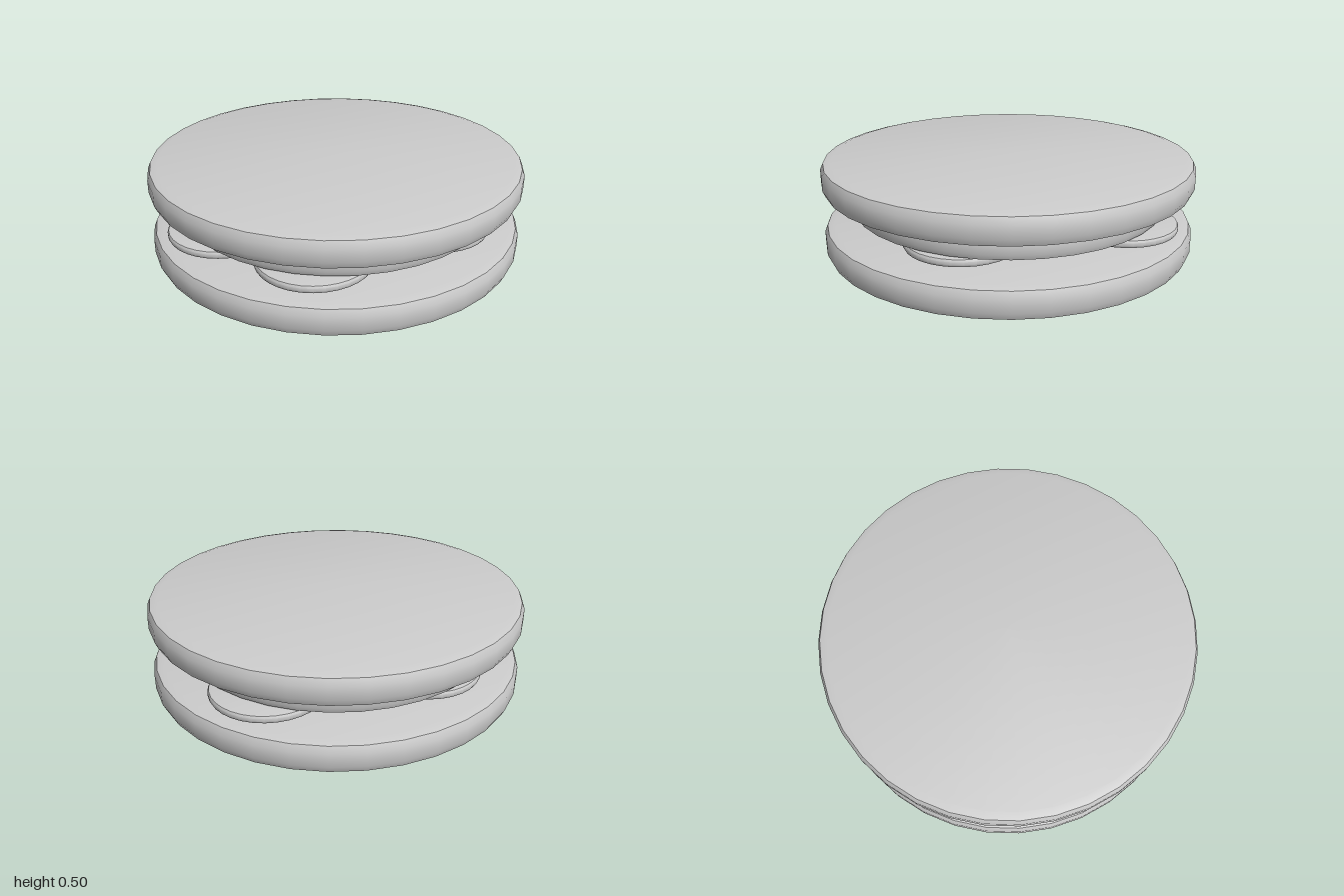
import * as THREE from 'three';
import { toCreasedNormals } from 'three/addons/utils/BufferGeometryUtils.js';

const material = new THREE.MeshStandardMaterial({ color: 0xcccccc });

// Round slab from y0 to y1 with softened rims; inset and drop shape the bevel
function slab(name, radius, y0, y1, inset, drop, segments = 36) {
  const half = [
    [radius - inset, 0],
    [radius - inset * 0.28, drop * 0.24],
    [radius, drop],
  ];
  const points = [
    [0, y0],
    ...half.map(([r, d]) => [r, y0 + d]),
    ...half.slice().reverse().map(([r, d]) => [r, y1 - d]),
    [0, y1],
  ].map(([r, y]) => new THREE.Vector2(r, y));
  const geometry = toCreasedNormals(new THREE.LatheGeometry(points, segments), 0.5);
  const mesh = new THREE.Mesh(geometry, material);
  mesh.name = name;
  return mesh;
}

export function createModel() {
  const group = new THREE.Group();
  group.name = 'layeredSandwich';

  // Two matching outer rounds and the thick filling
  group.add(slab('bottomRound', 1, 0, 0.16, 0.055, 0.045));
  group.add(slab('topRound', 1, 0.347, 0.503, 0.055, 0.045));
  group.add(slab('filling', 0.85, 0.222, 0.347, 0.04, 0.035));

  // Ring of five thin slices under the filling
  const centres = [[0.25, 0.575], [0.565, -0.06], [-0.02, -0.655], [-0.57, -0.07], [-0.31, 0.575]];
  const slices = new THREE.Group();
  slices.name = 'slices';
  centres.forEach(([x, z], i) => {
    const slice = slab('slice' + (i + 1), 0.293, 0.18, 0.223, 0.02, 0.014, 32);
    slice.position.set(x, 0, z);
    slices.add(slice);
  });
  group.add(slices);

  return group;
}
